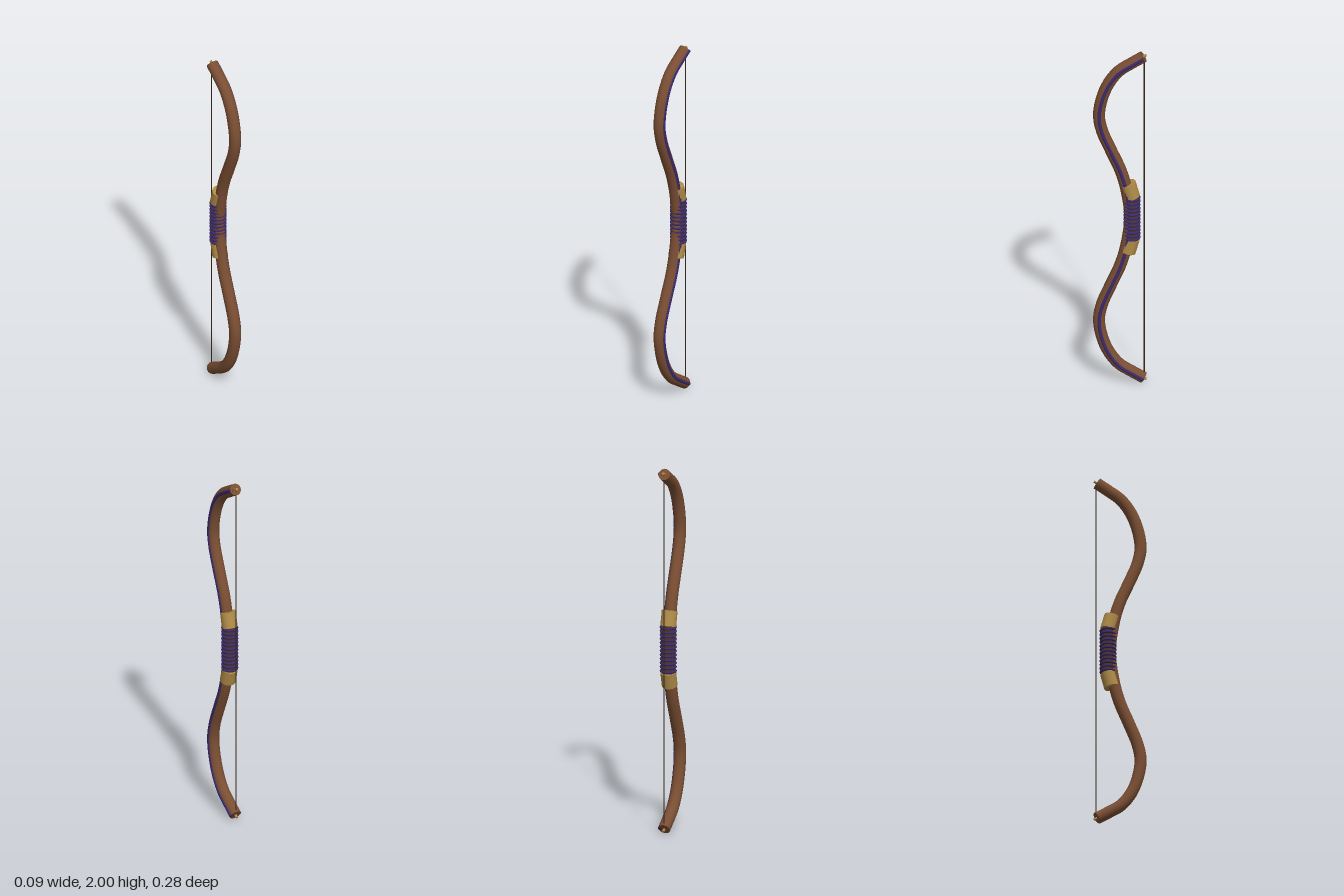
import * as THREE from 'three';

const V = (z, y, x = 0) => new THREE.Vector3(x, y, z);
const mat = (color) => new THREE.MeshStandardMaterial({ color });

export function createModel() {
  const bow = new THREE.Group();
  bow.name = 'recurveBow';
  const wood = mat(0x7a4e33), purple = mat(0x3c2a6c), leather = mat(0xb08c48);
  const wrap = mat(0x4a3424), cord = mat(0x33261a);

  const add = (name, geometry, material, parent = bow) => {
    const mesh = new THREE.Mesh(geometry, material);
    mesh.name = name;
    parent.add(mesh);
    return mesh;
  };
  // Solid round bar between two points
  const bar = (name, a, b, radius, material, sides = 16) => {
    const dir = b.clone().sub(a);
    const mesh = add(name, new THREE.CylinderGeometry(radius, radius, dir.length(), sides), material);
    mesh.position.copy(a).add(b).multiplyScalar(0.5);
    mesh.quaternion.setFromUnitVectors(new THREE.Vector3(0, 1, 0), dir.normalize());
    return mesh;
  };
  // Tube along a curve with flat discs closing both ends
  const cappedTube = (name, curve, radius, sides, material) => {
    const part = new THREE.Group();
    part.name = name;
    bow.add(part);
    add(name + 'Body', new THREE.TubeGeometry(curve, 96, radius, sides), material, part);
    for (const t of [0, 1]) {
      const cap = add(name + 'End', new THREE.CircleGeometry(radius, sides), material, part);
      cap.position.copy(curve.getPointAt(t));
      const out = curve.getTangentAt(t).multiplyScalar(t ? 1 : -1);
      cap.quaternion.setFromUnitVectors(new THREE.Vector3(0, 0, 1), out);
    }
  };

  // Upper half of the limb centreline as [z, y], mirrored about y = 1
  const half = [
    [-0.03, 1.18], [0, 1.29], [0.05, 1.41], [0.097, 1.53], [0.112, 1.63],
    [0.075, 1.785], [0.01, 1.885], [-0.06, 1.935], [-0.122, 1.974],
  ];
  const centreline = (x) => new THREE.CatmullRomCurve3([
    ...half.map(([z, y]) => V(z, 2 - y, x)).reverse(),
    V(-0.052, 1, x),
    ...half.map(([z, y]) => V(z, y, x)),
  ]);
  const limb = centreline(0);
  cappedTube('limb', limb, 0.032, 14, wood);

  // Inlaid stripe on the bow's left side
  cappedTube('sideStripe', centreline(0.0245), 0.0115, 8, purple);

  // Grip: wrapped core with a leather sleeve leaning forward at each end
  const gripZ = -0.062;
  bar('gripCore', V(gripZ, 0.87), V(gripZ, 1.13), 0.038, wrap);
  for (const s of [-1, 1]) {
    bar('gripSleeve', V(gripZ - 0.001, 1 + s * 0.125), V(-0.041, 1 + s * 0.206), 0.042, leather, 20);
  }
  const rings = 12;
  for (let i = 0; i < rings; i++) {
    const ring = add('gripWrap', new THREE.TorusGeometry(0.039, 0.0065, 8, 24), purple);
    ring.rotation.x = Math.PI / 2;
    ring.position.set(0, 0.88 + (0.24 * i) / (rings - 1), gripZ);
  }

  // String and the small pegs that hold it at the tips
  bar('string', V(-0.127, 0.035), V(-0.127, 1.965), 0.003, cord, 8);
  for (const t of [0, 1]) {
    const tip = limb.getPointAt(t);
    const out = limb.getTangentAt(t).multiplyScalar(t ? 1 : -1);
    bar('stringPeg', tip.clone().addScaledVector(out, -0.02),
      tip.clone().addScaledVector(out, 0.018), 0.007, leather, 8);
  }
  return bow;
}
